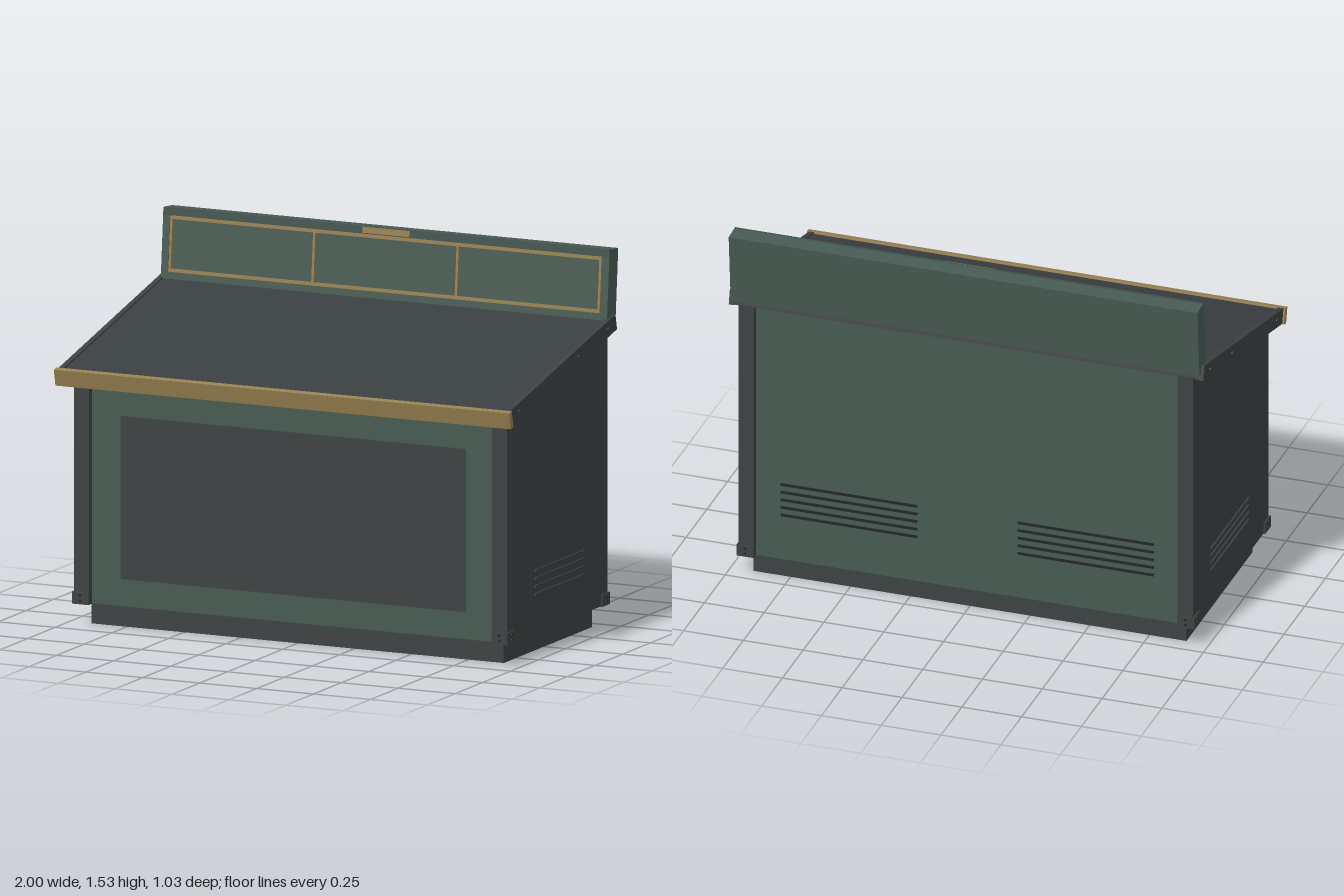
import * as THREE from 'three';

const mat = (name, color) => {
  const m = new THREE.MeshStandardMaterial({ color });
  m.name = name;
  return m;
};

export function createModel() {
  const charcoal = mat('charcoal', 0x3c4141);
  const slate = mat('slate', 0x393e41);
  const green = mat('green', 0x465a52);
  const darkGreen = mat('dark green', 0x3f524b);
  const brass = mat('brass', 0x97804f);
  const black = mat('black', 0x222626);

  const model = new THREE.Group();
  model.name = 'counter';

  // Box given by its min and max corners
  const box = (parent, name, material, x0, x1, y0, y1, z0, z1) => {
    const mesh = new THREE.Mesh(new THREE.BoxGeometry(x1 - x0, y1 - y0, z1 - z0), material);
    mesh.position.set((x0 + x1) / 2, (y0 + y1) / 2, (z0 + z1) / 2);
    mesh.name = name;
    parent.add(mesh);
    return mesh;
  };

  // Screw head whose axis points along x or z
  const screw = (parent, material, axis, x, y, z, r = 0.007) => {
    const mesh = new THREE.Mesh(new THREE.CylinderGeometry(r, r, 0.008, 12), material);
    if (axis === 'x') mesh.rotation.z = Math.PI / 2;
    else mesh.rotation.x = Math.PI / 2;
    mesh.position.set(x, y, z);
    mesh.name = 'screw';
    parent.add(mesh);
  };

  // Slab extruded across x from a (z, y) outline
  const slab = (name, material, x0, x1, outline) => {
    const shape = new THREE.Shape(outline.map(([z, y]) => new THREE.Vector2(-z, y)));
    const geo = new THREE.ExtrudeGeometry(shape, { depth: x1 - x0, bevelEnabled: false });
    geo.rotateY(Math.PI / 2);
    const mesh = new THREE.Mesh(geo, material);
    mesh.position.x = x0;
    mesh.name = name;
    model.add(mesh);
  };
  const wall = (front, back) => {
    const top = z => 1.096 - 0.23 * z;
    return [[front, 0.09], [back, 0.09], [back, top(back)], [front, top(front)]];
  };

  // Plinth, cabinet and side walls
  box(model, 'plinth', charcoal, -0.905, 0.905, 0, 0.092, -0.43, 0.365);
  slab('cabinet', green, -0.887, 0.887, wall(0.405, -0.46));
  slab('rightSide', charcoal, -0.95, -0.885, wall(0.43, -0.48));
  slab('leftSide', charcoal, 0.885, 0.95, wall(0.43, -0.48));
  box(model, 'frontPanel', charcoal, -0.757, 0.757, 0.2, 0.857, 0.404, 0.411);

  for (const s of [-1, 1]) {
    // Corner brackets with screws
    for (const [z, d] of [[0.43, 1], [-0.48, -1]]) {
      const bracket = new THREE.Group();
      bracket.name = 'cornerBracket';
      model.add(bracket);
      const xs = [s * 0.885, s * 0.957].sort((a, b) => a - b);
      const zs = [z - d * 0.06, z + d * 0.006].sort((a, b) => a - b);
      box(bracket, 'bracketPlate', charcoal, xs[0], xs[1], 0.088, 0.137, zs[0], zs[1]);
      for (const y of [0.103, 0.125]) {
        screw(bracket, black, 'z', s * 0.921, y, z + d * 0.006, 0.005);
        screw(bracket, black, 'x', s * 0.957, y, z - d * 0.027, 0.005);
      }
    }
    // Side and rear vent slats
    for (let i = 0; i < 4; i++) {
      const y = 0.246 + i * 0.032;
      const x = s * 0.952;
      box(model, 'sideVentSlat', charcoal, x - 0.005, x + 0.005, y - 0.005, y + 0.005, -0.27, 0.18);
    }
    for (let i = 0; i < 5; i++) {
      const y = 0.288 + i * 0.034;
      const x = s * 0.495;
      box(model, 'rearVentSlat', black, x - 0.285, x + 0.285, y - 0.005, y + 0.005, -0.465, -0.458);
    }
  }

  // Sloped worktop, origin at the middle of its top surface
  const top = new THREE.Group();
  top.name = 'worktop';
  top.position.set(0, 1.1525, 0.0125);
  top.rotation.x = Math.atan(0.2293);
  model.add(top);
  box(top, 'worktopSlab', slate, -0.972, 0.972, -0.062, -0.006, -0.488, 0.485);
  for (const s of [-1, 1]) {
    const x = s * 0.981;
    box(top, 'sideRail', charcoal, x - 0.011, x + 0.011, -0.064, 0, -0.49, 0.488);
    for (const z of [0.41, -0.14, -0.415]) screw(top, charcoal, 'x', s * 0.992, -0.032, z);
  }
  box(top, 'frontEdge', brass, -1, 1, -0.066, 0.002, 0.487, 0.512);
  for (let i = -3; i <= 3; i++) screw(top, brass, 'z', i * 0.298, -0.032, 0.511, 0.006);

  // Leaning back board, origin at its bottom middle
  const board = new THREE.Group();
  board.name = 'backBoard';
  board.position.set(0, 1.228, -0.45);
  board.rotation.x = -0.085;
  model.add(board);
  box(board, 'boardBody', green, -0.98, 0.98, 0, 0.296, -0.04, 0.026);
  box(board, 'frameTop', darkGreen, -0.98, 0.98, 0.266, 0.296, 0.026, 0.038);
  box(board, 'frameBottom', green, -0.98, 0.98, 0, 0.04, 0.026, 0.038);
  for (const s of [-1, 1]) {
    const x = s * 0.9645;
    box(board, 'frameSide', green, x - 0.0155, x + 0.0155, 0.04, 0.266, 0.026, 0.038);
  }

  // Brass trim around and between the three board panels
  box(board, 'trimTop', brass, -0.947, 0.947, 0.252, 0.264, 0.026, 0.042);
  box(board, 'trimBottom', brass, -0.947, 0.947, 0.041, 0.053, 0.026, 0.042);
  for (const x of [-0.942, -0.315, 0.315, 0.942])
    box(board, 'trimUpright', brass, x - 0.005, x + 0.005, 0.05, 0.255, 0.026, 0.04);
  box(board, 'brassPlate', brass, -0.103, 0.103, 0.27, 0.294, 0.037, 0.043);

  return model;
}
